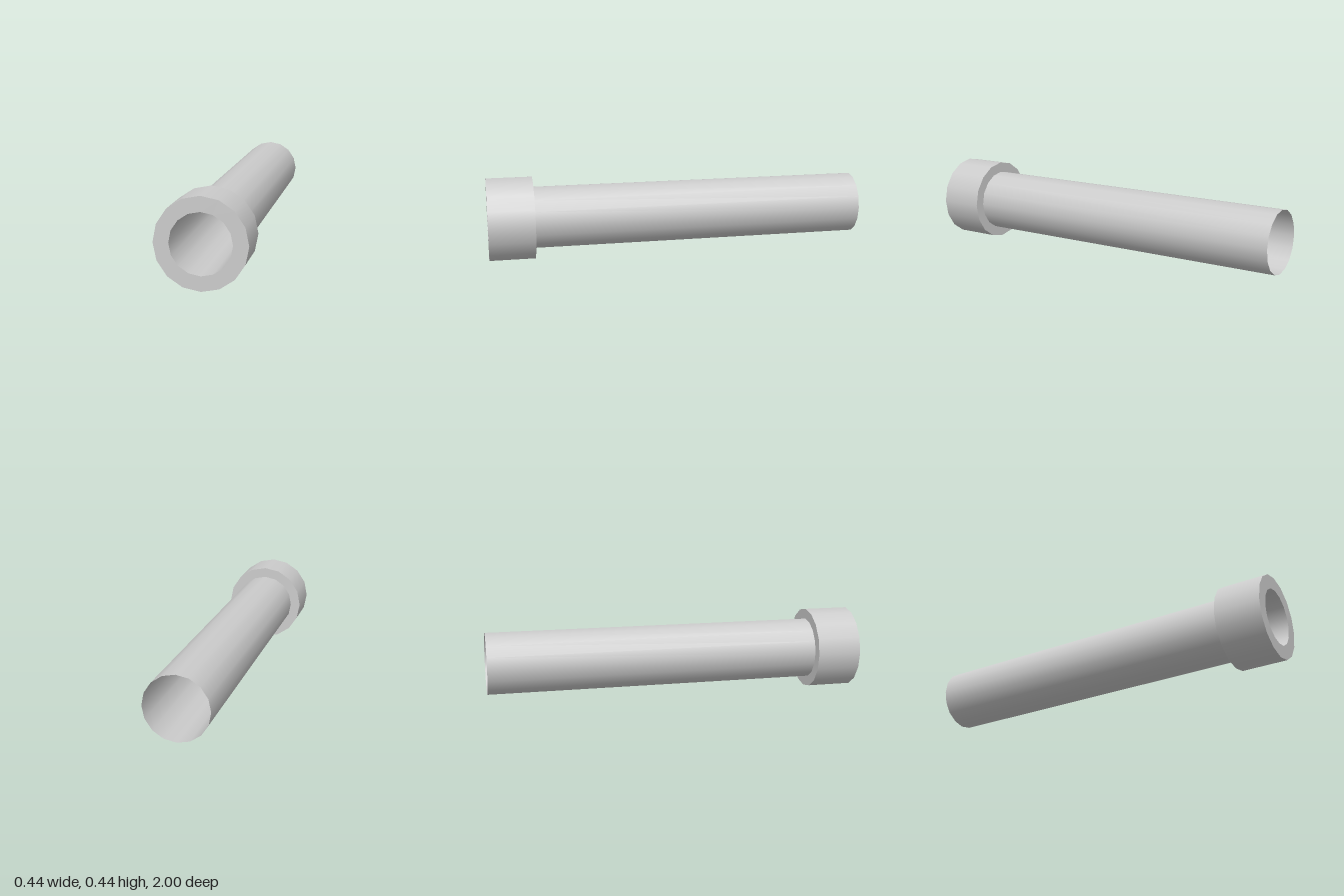
import * as THREE from 'three';

const SIDES = 16;
const COLLAR_R = 0.218, TUBE_R = 0.163, BORE_R = 0.146;
const FRONT = 1, SHOULDER = 0.762, PLUG = 0, BACK = -1;

export function createModel() {
  const model = new THREE.Group();
  const material = new THREE.MeshStandardMaterial({ color: 0xcccccc, side: THREE.DoubleSide });

  const add = (name, geometry, z) => {
    const mesh = new THREE.Mesh(geometry, material);
    mesh.name = name;
    mesh.position.set(0, COLLAR_R, z);
    model.add(mesh);
    return mesh;
  };
  // Open cylinder wall running along z
  const wall = (name, radius, z0, z1) => add(name,
    new THREE.CylinderGeometry(radius, radius, z1 - z0, SIDES, 1, true).rotateX(Math.PI / 2),
    (z0 + z1) / 2);

  // Long thin tube, open at the back
  wall('tube', TUBE_R, BACK, SHOULDER);

  // Wider collar at the front, with its two ring faces
  wall('collar', COLLAR_R, SHOULDER, FRONT);
  add('collarFrontFace', new THREE.RingGeometry(BORE_R, COLLAR_R, SIDES), FRONT);
  add('collarBackFace', new THREE.RingGeometry(TUBE_R, COLLAR_R, SIDES).rotateY(Math.PI), SHOULDER);

  // Bore entering from the front, closed deep inside
  wall('bore', BORE_R, PLUG, FRONT);
  add('boreEnd', new THREE.CircleGeometry(TUBE_R, SIDES), PLUG);

  return model;
}
